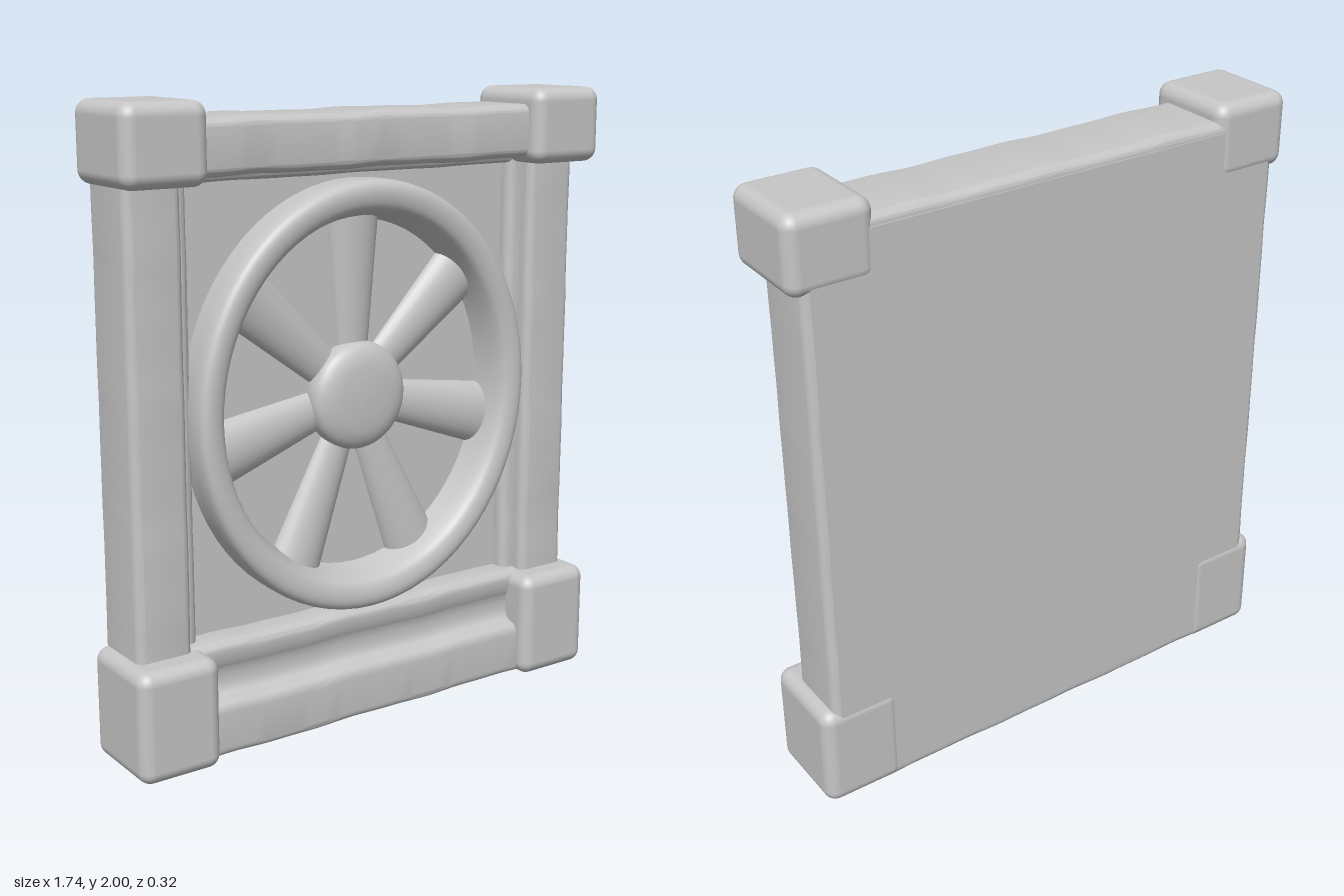
import * as THREE from 'three';
import { mergeVertices, toCreasedNormals } from 'three/addons/utils/BufferGeometryUtils.js';
import { RoundedBoxGeometry } from 'three/addons/geometries/RoundedBoxGeometry.js';

const stone = new THREE.MeshStandardMaterial({ color: 0xc6c6c6 });
stone.name = 'grey stone';

function add(parent, name, geometry, x = 0, y = 0, z = 0) {
  const mesh = new THREE.Mesh(geometry, stone);
  mesh.name = name;
  mesh.position.set(x, y, z);
  parent.add(mesh);
  return mesh;
}

// Rectangle with rounded corners, centred on the origin
function roundedRect(w, h, r) {
  const s = new THREE.Shape();
  const a = w / 2 - r, b = h / 2 - r;
  s.absarc(a, b, r, 0, Math.PI / 2);
  s.absarc(-a, b, r, Math.PI / 2, Math.PI);
  s.absarc(-a, -b, r, Math.PI, Math.PI * 1.5);
  s.absarc(a, -b, r, Math.PI * 1.5, Math.PI * 2);
  s.closePath();
  return s;
}

// Extrudes a section along z with a slight hand-carved waviness
function carvedBeam(shape, length, phase, amount = 0.002) {
  let g = new THREE.ExtrudeGeometry(shape, { depth: length, steps: 40, bevelEnabled: false, curveSegments: 6 });
  g.translate(0, 0, -length / 2);
  const p = g.attributes.position;
  for (let i = 0; i < p.count; i++) {
    const t = p.getZ(i);
    p.setX(i, p.getX(i) + amount * 0.3 * Math.sin(t * 9 + phase));
    p.setY(i, p.getY(i) + amount * (Math.sin(t * 13 + phase) + 0.5 * Math.sin(t * 29 + phase * 2)));
  }
  g.deleteAttribute('normal');
  g.deleteAttribute('uv');
  g = mergeVertices(g, 1e-4);
  return toCreasedNormals(g, 0.75);
}

// Turned part whose axis points to the front
function turned(points) {
  const path = new THREE.SplineCurve(points.map(([r, z]) => new THREE.Vector2(r, z))).getPoints(32);
  path.forEach(v => { v.x = Math.max(v.x, 0); });
  return new THREE.LatheGeometry(path, 72).rotateX(Math.PI / 2);
}

export function createModel() {
  const model = new THREE.Group();
  model.name = 'carvedWheelPanel';

  // Back slab, running behind posts and rails for an unbroken back
  add(model, 'backPanel', new THREE.BoxGeometry(1.61, 1.87, 0.134), 0, 0.98, -0.088);

  // Corner blocks and side posts
  for (const side of [-1, 1]) {
    const label = side > 0 ? 'left' : 'right';
    add(model, label + 'TopBlock', new RoundedBoxGeometry(0.273, 0.24, 0.319, 6, 0.042), side * 0.734, 1.88, 0.001);
    add(model, label + 'BottomBlock', new RoundedBoxGeometry(0.273, 0.355, 0.319, 6, 0.042), side * 0.734, 0.1825, 0.001);
    const post = carvedBeam(roundedRect(0.185, 0.227, 0.03), 1.6, side * 2, 0.001).rotateX(-Math.PI / 2);
    add(model, label + 'Post', post, side * 0.738, 1.05, -0.0395);
    // Narrow trim beside the panel
    const trim = carvedBeam(roundedRect(0.09, 0.08, 0.03), 1.5, side, 0.001).rotateX(-Math.PI / 2);
    add(model, label + 'Trim', trim, side * 0.645, 1.05, -0.016);
  }

  // Top rail and the thin trim beneath it
  const rail = carvedBeam(roundedRect(0.266, 0.168, 0.03), 1.3, 0.6).rotateY(Math.PI / 2);
  add(model, 'topRail', rail, 0, 1.864, -0.019);
  const lip = carvedBeam(roundedRect(0.08, 0.06, 0.025), 1.3, 1, 0.001).rotateY(Math.PI / 2);
  add(model, 'topTrim', lip, 0, 1.787, -0.016);

  // Bottom rail with a stepped moulding, section given as (-z, y)
  const base = new THREE.Shape();
  base.moveTo(0.152, 0.04);
  base.lineTo(0.152, 0.34);
  base.lineTo(0.02, 0.368);
  base.lineTo(-0.035, 0.366);
  base.quadraticCurveTo(-0.07, 0.362, -0.07, 0.335);
  base.quadraticCurveTo(-0.068, 0.3, -0.055, 0.275);
  base.quadraticCurveTo(-0.045, 0.205, -0.075, 0.192);
  base.quadraticCurveTo(-0.115, 0.188, -0.115, 0.15);
  base.lineTo(-0.115, 0.04);
  base.quadraticCurveTo(-0.115, 0.012, -0.087, 0.012);
  base.lineTo(0.124, 0.012);
  base.quadraticCurveTo(0.152, 0.012, 0.152, 0.04);
  add(model, 'bottomRail', carvedBeam(base, 1.3, 2.2).rotateY(Math.PI / 2));

  // Wheel, slightly taller than wide
  const wheel = new THREE.Group();
  wheel.name = 'wheel';
  wheel.position.set(0, 1.057, 0);
  wheel.scale.set(1, 1.112, 1);
  model.add(wheel);
  add(wheel, 'rim', turned([
    [0.615, -0.04], [0.617, 0.01], [0.618, 0.06], [0.611, 0.092], [0.59, 0.105],
    [0.56, 0.103], [0.535, 0.088], [0.519, 0.05], [0.507, 0], [0.498, -0.04],
  ]));
  // Seven spokes that widen outward
  for (let i = 0; i < 7; i++) {
    const spoke = new THREE.CylinderGeometry(0.098, 0.058, 0.42, 28, 1, true);
    spoke.scale(1, 1, 0.68).translate(0, 0.335, -0.028).rotateZ(i * Math.PI * 2 / 7);
    add(wheel, 'spoke' + (i + 1), spoke);
  }
  // Round domed hub
  add(model, 'hub', turned([
    [0.17, -0.04], [0.174, 0.005], [0.162, 0.036], [0.125, 0.056], [0.07, 0.064], [0, 0.067],
  ]), 0, 1.058, 0);
  return model;
}
